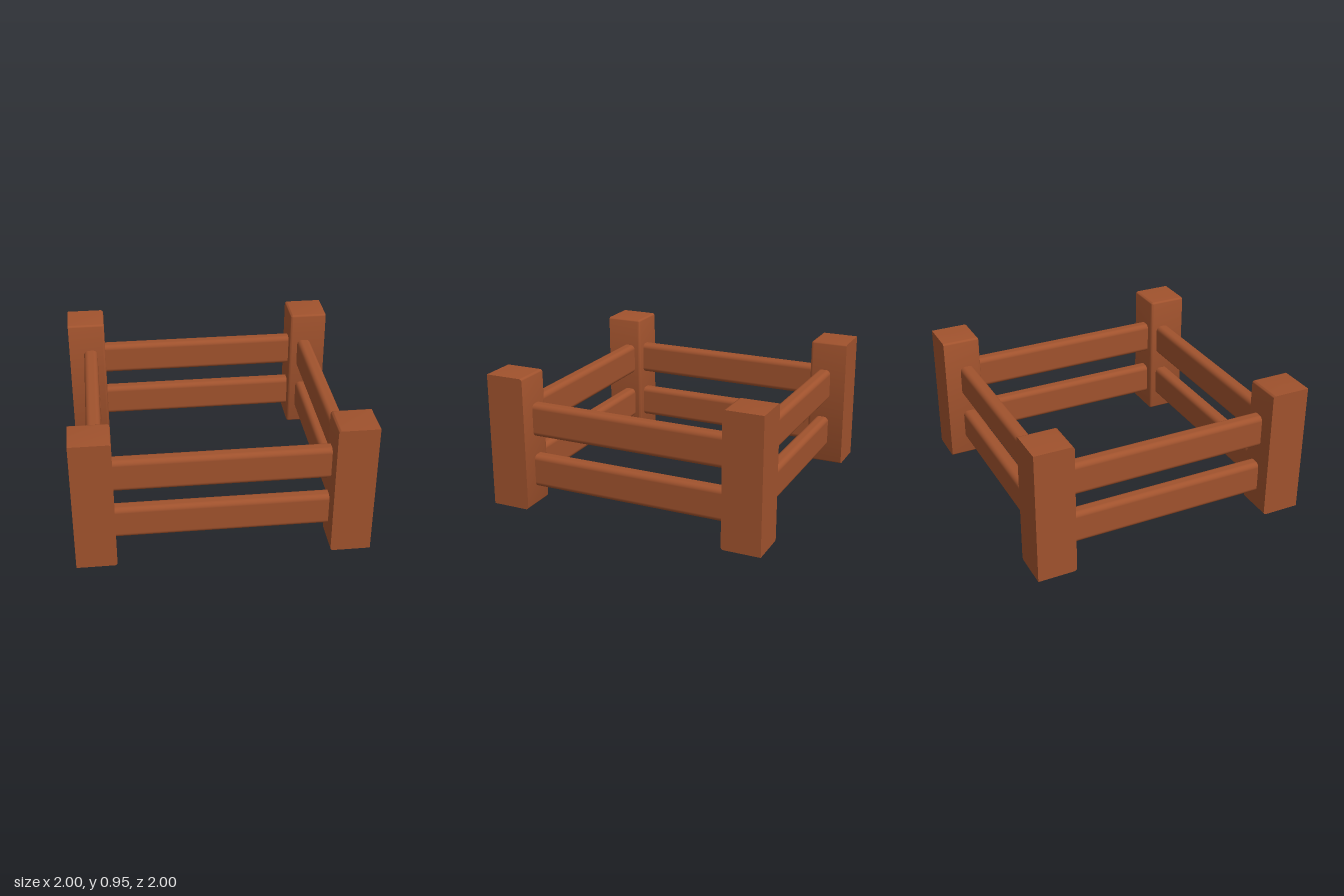
import * as THREE from 'three';
import { RoundedBoxGeometry } from 'three/addons/geometries/RoundedBoxGeometry.js';
import { toCreasedNormals } from 'three/addons/utils/BufferGeometryUtils.js';

const POST_WIDTH = 0.275;
const POST_HEIGHT = 0.95;
const BEVEL = 0.02;

// Corner post: bevelled on its inner sides, cut flat and sharp on its outer sides.
function postGeometry(sx, sz) {
  const size = POST_WIDTH + BEVEL;
  const geometry = new RoundedBoxGeometry(size, POST_HEIGHT, size, 3, BEVEL);
  const offset = 1 - POST_WIDTH + size / 2;
  geometry.translate(sx * offset, POST_HEIGHT / 2, sz * offset);
  const p = geometry.attributes.position;
  for (let i = 0; i < p.count; i++) {
    p.setX(i, THREE.MathUtils.clamp(p.getX(i), -1, 1));
    p.setZ(i, THREE.MathUtils.clamp(p.getZ(i), -1, 1));
  }
  return toCreasedNormals(geometry, 0.7);
}

export function createModel() {
  const group = new THREE.Group();
  const wood = new THREE.MeshStandardMaterial({ color: 0xa0522d });
  wood.name = 'wood';

  const add = (name, geometry, x = 0, y = 0, z = 0, turn = 0) => {
    const mesh = new THREE.Mesh(geometry, wood);
    mesh.name = name;
    mesh.position.set(x, y, z);
    mesh.rotation.y = turn;
    group.add(mesh);
  };

  // Four corner posts
  for (const sx of [-1, 1]) {
    for (const sz of [-1, 1]) {
      add(`${sz > 0 ? 'front' : 'back'}${sx > 0 ? 'Left' : 'Right'}Post`, postGeometry(sx, sz));
    }
  }

  // Two rails on every side, their ends set into the posts
  const rail = new RoundedBoxGeometry(1.6, 0.234, 0.103, 4, 0.035);
  for (const [level, y] of [['lower', 0.248], ['upper', 0.621]]) {
    add(`${level}FrontRail`, rail, 0, y, 0.825);
    add(`${level}BackRail`, rail, 0, y, -0.833);
    add(`${level}LeftRail`, rail, 0.836, y, 0, Math.PI / 2);
    add(`${level}RightRail`, rail, -0.838, y, 0, Math.PI / 2);
  }
  return group;
}
